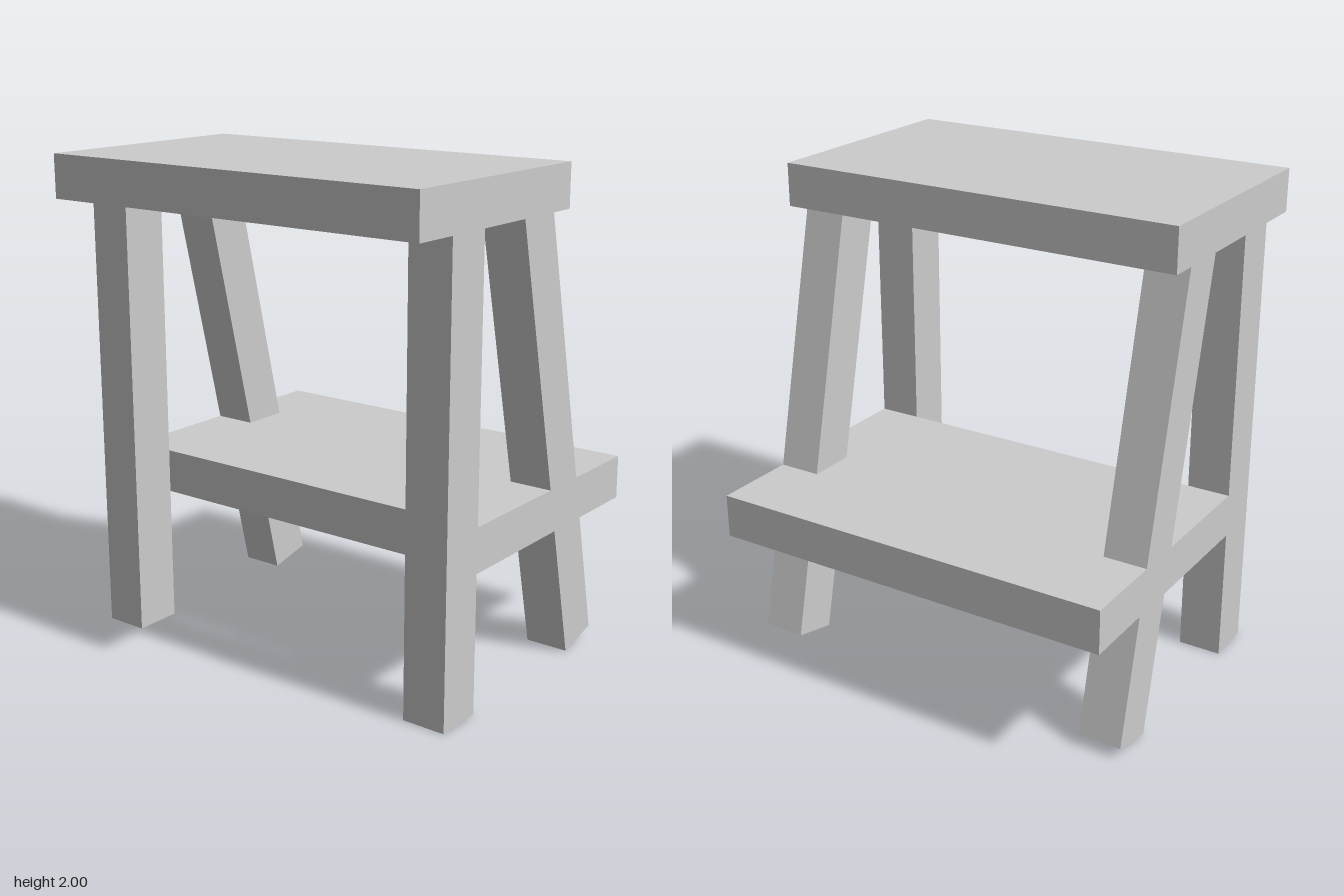
import * as THREE from 'three';

const HALF_DEPTH = 0.857;
const LEG_DEPTH = 0.18;

export function createModel() {
  const model = new THREE.Group();
  model.name = 'stepStool';
  const material = new THREE.MeshStandardMaterial({ color: 0xcccccc, flatShading: true });

  // Extrudes a side profile (x, y corners) between two depths
  function addBoard(name, corners, zBack, zFront) {
    const shape = new THREE.Shape(corners.map(([x, y]) => new THREE.Vector2(x, y)));
    const geometry = new THREE.ExtrudeGeometry(shape, { depth: zFront - zBack, bevelEnabled: false });
    geometry.translate(0, 0, zBack);
    const mesh = new THREE.Mesh(geometry, material);
    mesh.name = name;
    model.add(mesh);
  }
  const rect = (x0, x1, y0, y1) => [[x0, y0], [x1, y0], [x1, y1], [x0, y1]];

  // Seat and lower step run the full width
  addBoard('seat', rect(-0.735, 0.24, 1.825, 2), -HALF_DEPTH, HALF_DEPTH);
  addBoard('step', rect(-0.342, 0.732, 0.56, 0.74), -HALF_DEPTH, HALF_DEPTH);

  // A straight and a slanted leg at each end, the slanted one cut square at its foot
  const straight = rect(-0.54, -0.342, 0, 1.825);
  const slanted = [[0.35, 0.003], [0.54, 0.048], [0.125, 1.825], [-0.077, 1.825]];
  for (const [side, z] of [['front', HALF_DEPTH - LEG_DEPTH], ['back', -HALF_DEPTH]]) {
    addBoard(`${side}StraightLeg`, straight, z, z + LEG_DEPTH);
    addBoard(`${side}SlantedLeg`, slanted, z, z + LEG_DEPTH);
  }
  return model;
}
